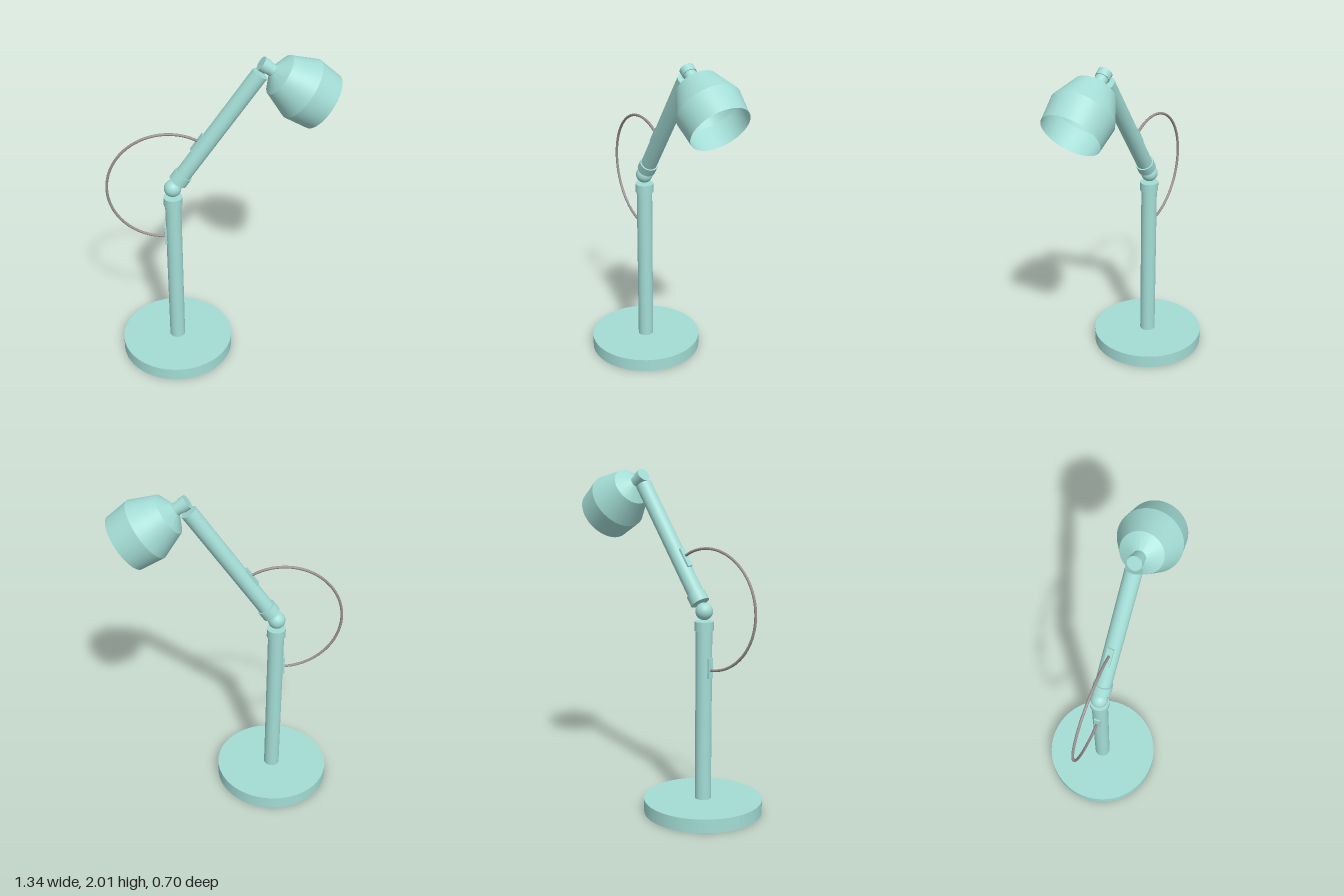
import * as THREE from 'three';
import { toCreasedNormals } from 'three/addons/utils/BufferGeometryUtils.js';

const TILT = THREE.MathUtils.degToRad(35);
const POST_X = -0.285;
const BALL_Y = 1.2;

const paint = new THREE.MeshStandardMaterial({ color: 0xa3dcd5 });
const shadePaint = new THREE.MeshStandardMaterial({ color: 0xa3dcd5, side: THREE.DoubleSide });
const cordGrey = new THREE.MeshStandardMaterial({ color: 0x9a9090 });

function add(parent, name, geometry, material = paint) {
  const mesh = new THREE.Mesh(geometry, material);
  mesh.name = name;
  parent.add(mesh);
  return mesh;
}

// Upright cylinder between two heights
function rod(parent, name, radius, y0, y1, segments = 40) {
  const mesh = add(parent, name, new THREE.CylinderGeometry(radius, radius, y1 - y0, segments));
  mesh.position.y = (y0 + y1) / 2;
  return mesh;
}

// Small plate that holds the cord against a tube
function clip(parent, name, y) {
  const mesh = add(parent, name, new THREE.BoxGeometry(0.022, 0.12, 0.036));
  mesh.position.set(-0.046, y, 0);
}

export function createModel() {
  const lamp = new THREE.Group();
  lamp.name = 'deskLamp';

  // Base, post and its collar
  const stand = new THREE.Group();
  stand.name = 'stand';
  stand.position.x = POST_X;
  lamp.add(stand);
  rod(stand, 'base', 0.35, 0, 0.08, 64);
  rod(stand, 'post', 0.048, 0.08, 1.14);
  rod(stand, 'postCollar', 0.056, 1.088, 1.142);
  clip(stand, 'lowerCordClip', 0.873);
  add(stand, 'elbowBall', new THREE.SphereGeometry(0.051, 32, 24)).position.y = BALL_Y;

  // Tilted arm, pivoting on the ball
  const arm = new THREE.Group();
  arm.name = 'arm';
  arm.position.set(POST_X, BALL_Y, 0);
  arm.rotation.z = -TILT;
  lamp.add(arm);
  rod(arm, 'armCollar', 0.056, 0.055, 0.115);
  rod(arm, 'armTube', 0.048, 0.06, 0.868);
  clip(arm, 'upperCordClip', 0.33);

  // Head: origin at the rim centre, +y pointing out of the opening
  const head = new THREE.Group();
  head.name = 'head';
  head.position.set(0.566, 1.727, 0);
  head.rotation.z = -TILT - Math.PI / 2;
  lamp.add(head);
  rod(head, 'headCollar', 0.041, -0.427, -0.386, 32);
  rod(head, 'neck', 0.036, -0.39, -0.34, 32);
  const profile = [[0, -0.348], [0.038, -0.348], [0.122, -0.3], [0.185, -0.147], [0.171, 0]];
  const shade = new THREE.LatheGeometry(profile.map(([r, y]) => new THREE.Vector2(r, y)), 64);
  add(head, 'shade', toCreasedNormals(shade, 0.4), shadePaint);

  // Cord looping from clip to clip behind the elbow
  const points = [];
  for (let i = 0; i <= 24; i++) {
    const a = THREE.MathUtils.degToRad(58 + (209 * i) / 24);
    points.push(new THREE.Vector3(-0.316 + 0.35 * Math.cos(a), 1.21 + 0.35 * Math.sin(a), 0));
  }
  add(lamp, 'cord', new THREE.TubeGeometry(new THREE.CatmullRomCurve3(points), 96, 0.008, 10), cordGrey);

  return lamp;
}
